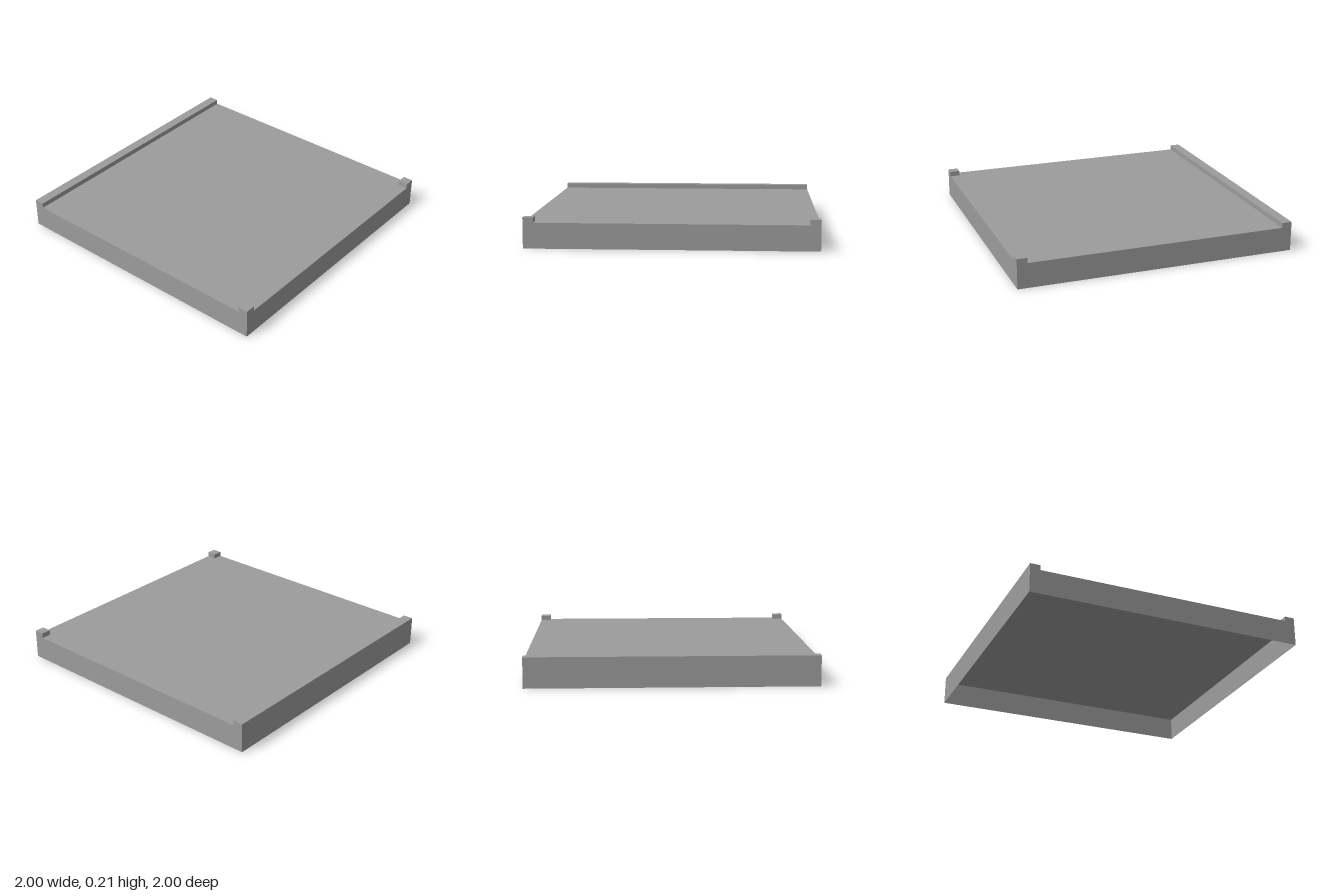
import * as THREE from 'three';

const TOP = 0.212, DECK = 0.176, LIP = 0.072, IN = 1 - LIP;

export function createModel() {
  const group = new THREE.Group();
  const material = new THREE.MeshStandardMaterial({
    color: 0x9c9c9c, flatShading: true, side: THREE.DoubleSide,
  });

  // Flat sheet from an outline, turned into place
  const sheet = (name, points, position, rotX = 0, rotY = 0) => {
    const shape = new THREE.Shape(points.map(([x, y]) => new THREE.Vector2(x, y)));
    const mesh = new THREE.Mesh(new THREE.ShapeGeometry(shape), material);
    mesh.name = name;
    mesh.position.set(...position);
    mesh.rotation.set(rotX, rotY, 0);
    group.add(mesh);
  };
  const rect = (x0, y0, x1, y1) => [[x0, y0], [x1, y0], [x1, y1], [x0, y1]];

  // Outer walls: open below, notched between the raised corners
  const notched = [[-1, 0], [1, 0], [1, TOP], [IN, TOP], [IN, DECK], [-IN, DECK], [-IN, TOP], [-1, TOP]];
  sheet('frontWall', notched, [0, 0, 1]);
  sheet('backWall', rect(-1, 0, 1, TOP), [0, 0, -1], 0, Math.PI);
  sheet('leftWall', notched, [1, 0, 0], 0, Math.PI / 2);
  sheet('rightWall', notched, [-1, 0, 0], 0, -Math.PI / 2);

  // Deck, running on beneath the rail and the posts
  sheet('deck', rect(-1, -1, 1, 1), [0, DECK, 0], -Math.PI / 2);

  // Back rail
  sheet('backRailTop', rect(-1, IN, 1, 1), [0, TOP, 0], -Math.PI / 2);
  sheet('backRailFace', rect(-1, DECK, 1, TOP), [0, 0, -IN]);

  // Front corner posts
  for (const [side, s] of [['left', 1], ['right', -1]]) {
    const x0 = s > 0 ? IN : -1, x1 = x0 + LIP;
    sheet(side + 'PostTop', rect(x0, -1, x1, -IN), [0, TOP, 0], -Math.PI / 2);
    sheet(side + 'PostBack', rect(-x1, DECK, -x0, TOP), [0, 0, IN], 0, Math.PI);
    sheet(side + 'PostInner', rect(x0, DECK, x1, TOP), [s * IN, 0, 0], 0, -s * Math.PI / 2);
  }
  return group;
}
